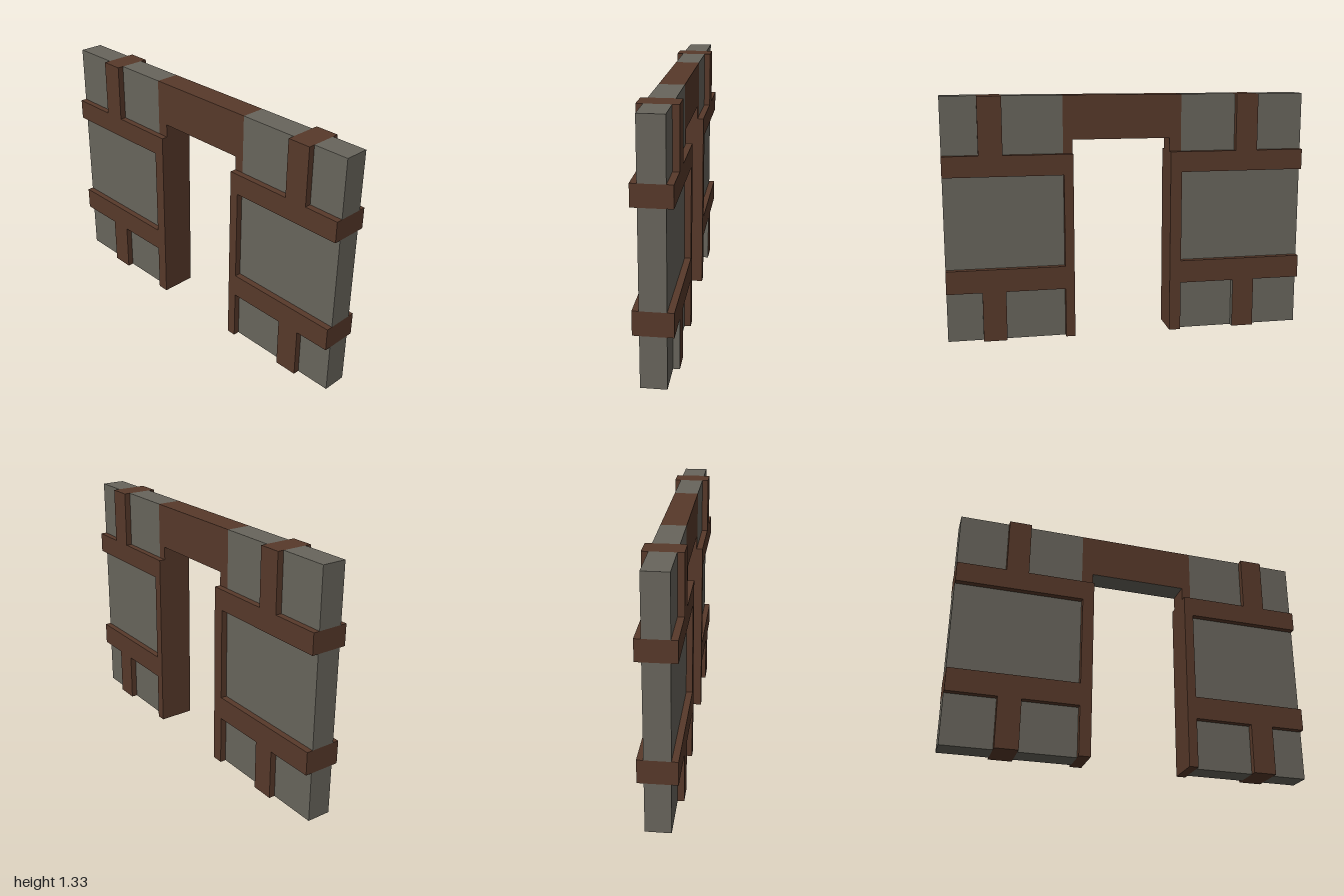
import * as THREE from 'three';

export function createModel() {
  const group = new THREE.Group();
  const stone = new THREE.MeshStandardMaterial({ color: 0x68655c });
  stone.name = 'grey plaster';
  const wood = new THREE.MeshStandardMaterial({ color: 0x57392a });
  wood.name = 'brown timber';

  const TOP = 1.333, WALL = 0.066, BEAM = 0.1;

  // Box given by its limits on each axis
  function block(name, material, x0, x1, y0, y1, z0, z1) {
    const mesh = new THREE.Mesh(new THREE.BoxGeometry(x1 - x0, y1 - y0, z1 - z0), material);
    mesh.position.set((x0 + x1) / 2, (y0 + y1) / 2, (z0 + z1) / 2);
    mesh.name = name;
    group.add(mesh);
  }
  const panel = (name, x0, x1, y0, y1) => block(name, stone, x0, x1, y0, y1, -WALL, WALL);
  const beam = (name, x0, x1, y0, y1) => block(name, wood, x0, x1, y0, y1, -BEAM, BEAM);

  const low = [0.275, 0.402], high = [0.907, 1.02];
  const sides = [
    { name: 'right', wall: [-1, -0.3], post: [-0.732, -0.608], jamb: [-0.3, -0.236] },
    { name: 'left', wall: [0.355, 1], post: [0.68, 0.808], jamb: [0.304, 0.355] },
  ];

  for (const { name, wall, post, jamb } of sides) {
    // Plaster infill between the timbers
    for (const [level, y0, y1] of [['Lower', 0, low[0]], ['Upper', high[1], TOP]]) {
      panel(`${name}${level}InfillA`, wall[0], post[0], y0, y1);
      panel(`${name}${level}InfillB`, post[1], wall[1], y0, y1);
    }
    panel(`${name}MiddleInfill`, ...wall, low[1], high[0]);

    // Horizontal rails
    beam(`${name}LowerRail`, ...wall, ...low);
    beam(`${name}UpperRail`, ...wall, ...high);

    // Posts: the lower one has a grey cheek on its rear half
    beam(`${name}UpperPost`, ...post, high[1], TOP);
    block(`${name}LowerPostFront`, wood, ...post, 0, low[0], 0, BEAM);
    block(`${name}LowerPostRear`, [stone, wood, wood, wood, wood, wood], ...post, 0, low[0], -BEAM, 0);

    // Door jamb and the thinner piece joining it to the lintel
    beam(`${name}Jamb`, ...jamb, 0, high[1]);
    block(`${name}JambHead`, wood, ...jamb, high[1], 1.094, -WALL, WALL);
  }

  // Lintel over the doorway with a grey underside
  block('lintel', [wood, wood, wood, stone, wood, wood], -0.3, 0.355, 1.094, TOP, -WALL, WALL);

  return group;
}
